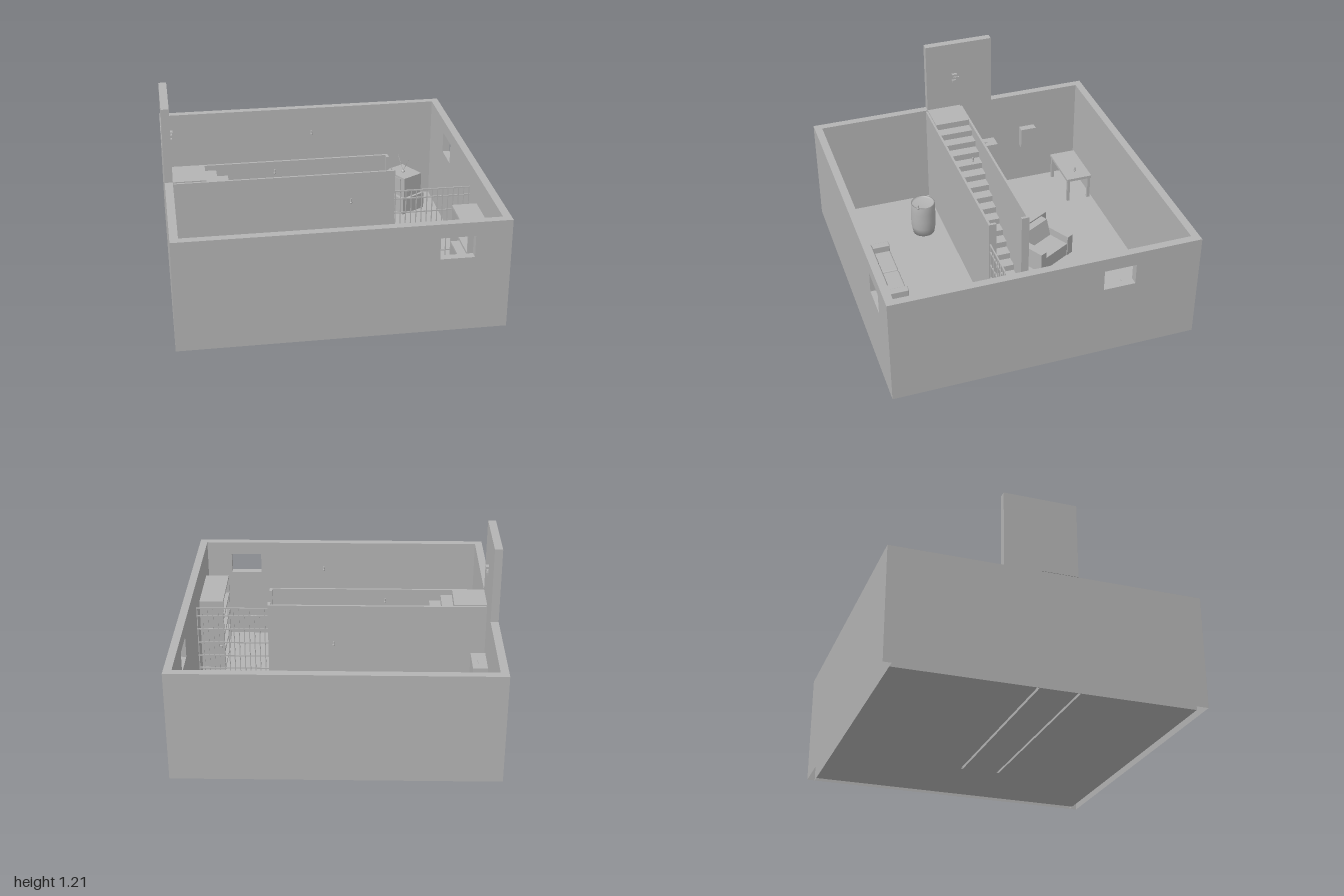
import * as THREE from 'three';
import { RoundedBoxGeometry } from 'three/addons/geometries/RoundedBoxGeometry.js';

const W = 1, D = 0.977, H = 0.72, T = 0.05;

export function createModel() {
  const root = new THREE.Group();
  root.name = 'basementRoom';
  const grey = new THREE.MeshStandardMaterial({ color: 0xb3b3b3, side: THREE.DoubleSide });
  grey.name = 'plaster grey';

  const add = (name, geo, parent = root) => {
    const m = new THREE.Mesh(geo, grey);
    m.name = name;
    parent.add(m);
    return m;
  };
  const group = (name, x = 0, z = 0, turn = 0) => {
    const g = new THREE.Group();
    g.name = name;
    g.position.set(x, 0, z);
    g.rotation.y = turn;
    root.add(g);
    return g;
  };
  // box given by its limits on each axis
  const box = (name, x0, x1, y0, y1, z0, z1, parent) => add(name,
    new THREE.BoxGeometry(x1 - x0, y1 - y0, z1 - z0)
      .translate((x0 + x1) / 2, (y0 + y1) / 2, (z0 + z1) / 2), parent);
  const soft = (name, x0, x1, y0, y1, z0, z1, r, parent) => add(name,
    new RoundedBoxGeometry(x1 - x0, y1 - y0, z1 - z0, 3, r)
      .translate((x0 + x1) / 2, (y0 + y1) / 2, (z0 + z1) / 2), parent);
  const rect = (Kind, x0, x1, y0, y1) => new Kind([[x0, y0], [x1, y0], [x1, y1], [x0, y1]]
    .map(([x, y]) => new THREE.Vector2(x, y)));
  const cyl = (name, r0, r1, h, x, y, z, parent, n = 16) =>
    add(name, new THREE.CylinderGeometry(r0, r1, h, n).translate(x, y, z), parent);

  // removes the faces lying on y = 0, leaving a hollow foot
  const openFoot = (geo) => {
    const g = geo.index ? geo.toNonIndexed() : geo;
    const p = g.attributes.position, pos = [];
    for (let i = 0; i < p.count; i += 3) {
      if ([0, 1, 2].every((k) => Math.abs(p.getY(i + k)) < 1e-5)) continue;
      for (let k = 0; k < 3; k++) pos.push(p.getX(i + k), p.getY(i + k), p.getZ(i + k));
    }
    const out = new THREE.BufferGeometry();
    out.setAttribute('position', new THREE.Float32BufferAttribute(pos, 3));
    out.computeVertexNormals();
    return out;
  };
  const wallSlab = (half, window) => {
    const s = rect(THREE.Shape, -half, half, 0, H);
    if (window) s.holes.push(rect(THREE.Path, ...window));
    return new THREE.ExtrudeGeometry(s, { depth: T, bevelEnabled: false });
  };

  // outer walls, two with a window
  add('frontWall', openFoot(wallSlab(W, [0.57, 0.78, 0.49, 0.63]).translate(0, 0, D - T)));
  add('backWall', openFoot(wallSlab(W).translate(0, 0, -D)));
  add('leftWall', openFoot(wallSlab(D - T, [0.35, 0.555, 0.49, 0.63])
    .rotateY(Math.PI / 2).translate(W - T, 0, 0)));
  add('rightWall', openFoot(wallSlab(D - T).rotateY(Math.PI / 2).translate(-W, 0, 0)));

  // floor with slots where the partitions stand
  const stairWalls = [[-0.07, -0.055], [0.18, 0.194]];
  const floor = rect(THREE.Shape, -W + T, W - T, -D + T, D - T);
  stairWalls.forEach(([a, b]) => floor.holes.push(rect(THREE.Path, -0.945, 0.455, -b, -a)));
  add('floor', new THREE.ShapeGeometry(floor).rotateX(-Math.PI / 2).translate(0, 0.001, 0));

  // partitions beside the stairs, with jambs at their ends
  stairWalls.forEach(([a, b], i) => {
    add('stairWall', openFoot(new THREE.BoxGeometry(1.4, 0.715, b - a)
      .translate(-0.245, 0.3575, (a + b) / 2)));
    box('stairJamb', 0.438, 0.456, 0.002, 0.715, i ? 0.145 : -0.055, i ? 0.18 : -0.02);
  });

  // staircase
  const steps = 16, run = 1.18 / steps, rise = 0.722 / (steps + 1);
  const profile = [new THREE.Vector2(-0.95, 0.002), new THREE.Vector2(-0.95, 0.722)];
  for (let i = 0; i <= steps; i++) {
    const x = -0.74 + i * run, y = 0.722 - i * rise;
    profile.push(new THREE.Vector2(x, y), new THREE.Vector2(x, i < steps ? y - rise : 0.002));
  }
  add('staircase', new THREE.ExtrudeGeometry(new THREE.Shape(profile), { depth: 0.234, bevelEnabled: false })
    .translate(0, 0, -0.055));

  // entrance at the head of the stairs
  box('entranceWall', -W, -W + T, H, 1.21, -0.285, -0.052);
  box('entranceDoor', -W, -W + T, H + 0.002, 1.21, -0.052, 0.18);
  box('doorBolt', -0.95, -0.93, 0.976, 0.982, -0.035, 0);
  box('doorHandle', -0.945, -0.936, 0.95, 0.956, -0.05, -0.012);
  box('doorHandleStem', -0.95, -0.938, 0.949, 0.957, -0.022, -0.014);
  box('doorLock', -0.95, -0.936, 0.918, 0.934, -0.027, 0);

  // barred partition
  const bars = group('barredPartition');
  for (let i = 0; i <= 14; i++) {
    const x = 0.462 + i * 0.0345;
    box('uprightBar', x - 0.003, x + 0.003, 0.002, 0.565, 0.182, 0.188, bars);
  }
  for (const y of [0.02, 0.115, 0.21, 0.31, 0.41, 0.51, 0.565])
    box('crossBar', 0.456, 0.95, y - 0.004, y + 0.004, 0.181, 0.189, bars);
  box('barLock', 0.785, 0.803, 0.25, 0.28, 0.188, 0.2, bars);

  // bookshelf, open towards the room
  const shelf = group('bookshelf');
  box('shelfBack', 0.94, 0.95, 0.002, 0.53, 0.36, 0.775, shelf);
  for (const z of [0.36, 0.76]) box('shelfSide', 0.79, 0.94, 0.002, 0.53, z, z + 0.015, shelf);
  for (let i = 0; i < 5; i++)
    box('shelfBoard', 0.79, 0.94, 0.01 + i * 0.126, 0.026 + i * 0.126, 0.375, 0.76, shelf);

  // sofa
  const sofa = group('sofa');
  box('sofaBase', -0.3, 0.225, 0.01, 0.08, 0.665, 0.91, sofa);
  soft('sofaBack', -0.31, 0.235, 0.01, 0.21, 0.88, 0.926, 0.018, sofa);
  for (const x of [-0.31, 0.185]) soft('sofaArm', x, x + 0.05, 0.01, 0.155, 0.66, 0.9, 0.006, sofa);
  for (const x of [-0.258, -0.036]) {
    soft('seatCushion', x, x + 0.219, 0.075, 0.115, 0.66, 0.88, 0.01, sofa);
    soft('backCushion', x, x + 0.219, 0.11, 0.205, 0.785, 0.888, 0.018, sofa);
  }

  // armchair with a sloping back
  const chair = group('armchair', -0.024, -0.338, 0.5);
  box('chairSeat', -0.1, 0.135, 0.01, 0.105, -0.11, 0.11, chair);
  box('chairBack', -0.14, -0.1, 0.01, 0.23, -0.16, 0.16, chair);
  for (const z of [-0.16, 0.11]) box('chairArm', -0.1, 0.14, 0.01, 0.16, z, z + 0.05, chair);
  const slope = new THREE.Shape([[-0.1, 0.105], [-0.015, 0.105], [-0.05, 0.22], [-0.1, 0.22]]
    .map(([x, y]) => new THREE.Vector2(x, y)));
  add('chairBackCushion', new THREE.ExtrudeGeometry(slope, { depth: 0.22, bevelEnabled: false })
    .translate(0, 0, -0.11), chair);

  // television on a stand, facing the armchair
  const tv = group('television', 0.71, -0.728, 0.53);
  box('tvStand', -0.1, 0.1, 0.002, 0.12, -0.118, 0.118, tv);
  box('tvCase', -0.075, 0.085, 0.12, 0.27, -0.1, 0.1, tv);
  box('tvScreen', -0.08, -0.075, 0.14, 0.255, -0.08, 0.06, tv);
  add('antennaBase', new THREE.SphereGeometry(0.014, 16, 10).translate(0, 0.272, 0), tv);
  for (const s of [-1, 1])
    add('antennaRod', new THREE.CylinderGeometry(0.002, 0.002, 0.12, 6)
      .translate(0, 0.06, 0).rotateX(s * 0.5).translate(0, 0.28, 0), tv);

  // workbench
  const bench = group('workbench');
  box('benchTop', -0.905, -0.555, 0.17, 0.19, -0.915, -0.73, bench);
  for (const x of [-0.9, -0.58]) for (const z of [-0.91, -0.755])
    box('benchLeg', x, x + 0.02, 0.002, 0.17, z, z + 0.02, bench);

  // wall box and cabinet
  box('fuseBox', -0.95, -0.9, 0.3, 0.45, -0.61, -0.5);
  const cabinet = group('cabinet');
  box('cabinetBody', -0.95, -0.855, 0.002, 0.4, -0.305, -0.1, cabinet);
  for (const z of [-0.27, -0.155]) box('cabinetKnob', -0.855, -0.846, 0.2, 0.212, z - 0.006, z + 0.006, cabinet);
  box('cabinetHandle', -0.896, -0.892, 0.4, 0.406, -0.24, -0.18, cabinet);

  // barrel with a raised rim
  const barrel = [[0, 0.002], [0.074, 0.002], [0.084, 0.06], [0.086, 0.12], [0.084, 0.18],
    [0.083, 0.24], [0.075, 0.24], [0.075, 0.228], [0, 0.228]];
  add('barrel', new THREE.LatheGeometry(barrel.map(([x, y]) => new THREE.Vector2(x, y)), 32)
    .translate(-0.55, 0, 0.345));

  // hanging bulbs
  for (const [x, z] of [[0.02, -0.54], [-0.3, 0.055], [0.11, 0.545]]) {
    add('bulb', new THREE.SphereGeometry(0.008, 12, 8).translate(x, 0.685, z));
    cyl('bulbSocket', 0.005, 0.006, 0.02, x, 0.7, z, root, 12);
  }
  return root;
}
